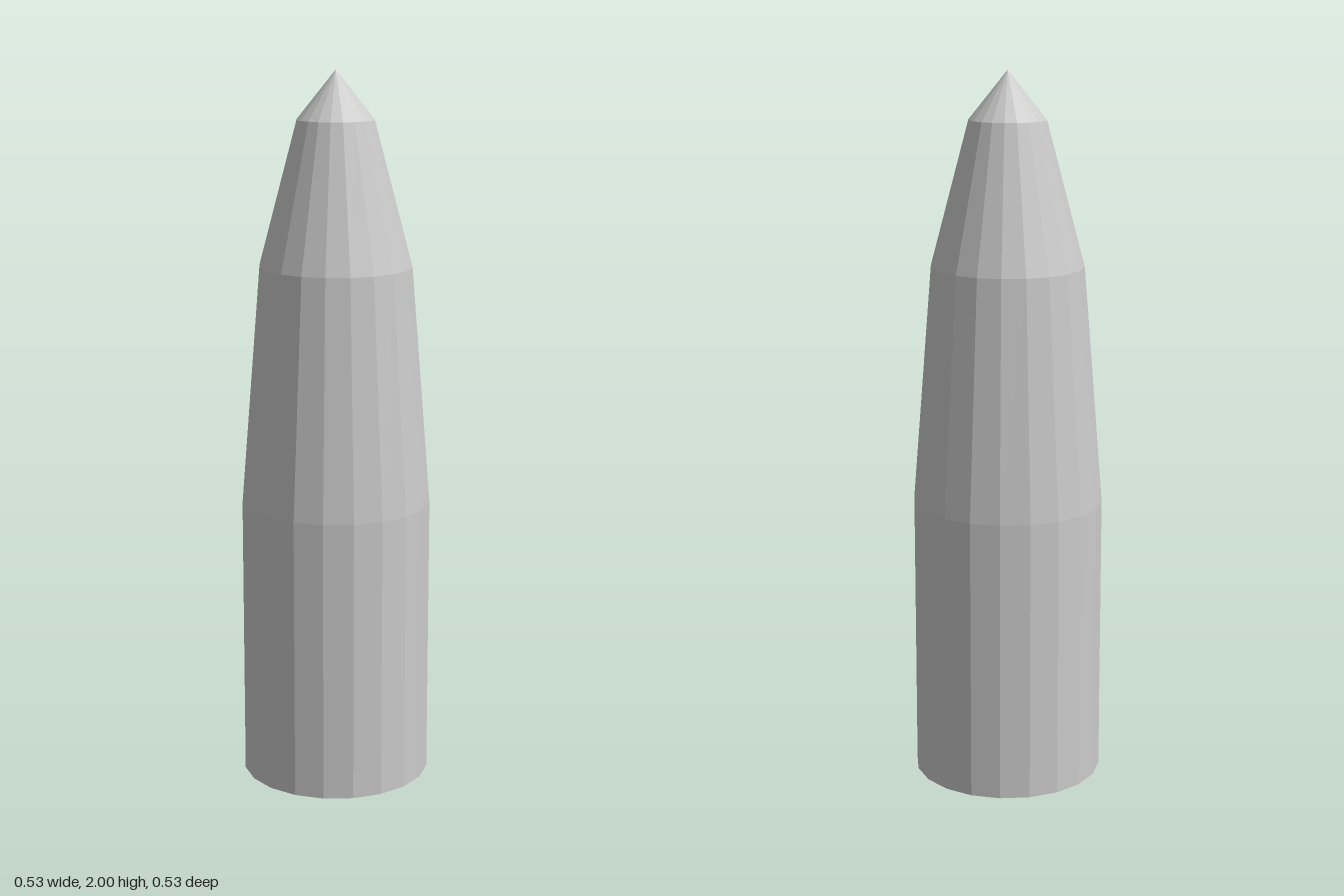
import * as THREE from 'three';

const SIDES = 20;

export function createModel() {
  const group = new THREE.Group();
  group.name = 'pointedShell';
  const material = new THREE.MeshStandardMaterial({ color: 0xcccccc, flatShading: true });

  // Stacked round sections: name, bottom y, top y, bottom radius, top radius
  const sections = [
    ['casing', 0, 0.8, 0.267, 0.267],
    ['shoulder', 0.8, 1.467, 0.267, 0.213],
    ['nose', 1.467, 1.867, 0.213, 0.107],
  ];
  for (const [name, y0, y1, r0, r1] of sections) {
    const geometry = new THREE.CylinderGeometry(r1, r0, y1 - y0, SIDES, 1, true);
    const mesh = new THREE.Mesh(geometry, material);
    mesh.name = name;
    mesh.position.y = (y0 + y1) / 2;
    group.add(mesh);
  }

  // Pointed tip
  const tip = new THREE.Mesh(new THREE.ConeGeometry(0.107, 0.133, SIDES, 1, true), material);
  tip.name = 'tip';
  tip.position.y = 1.9335;
  group.add(tip);

  // Flat underside
  const base = new THREE.Mesh(new THREE.CircleGeometry(0.267, SIDES), material);
  base.name = 'base';
  base.rotation.x = Math.PI / 2;
  group.add(base);

  return group;
}
